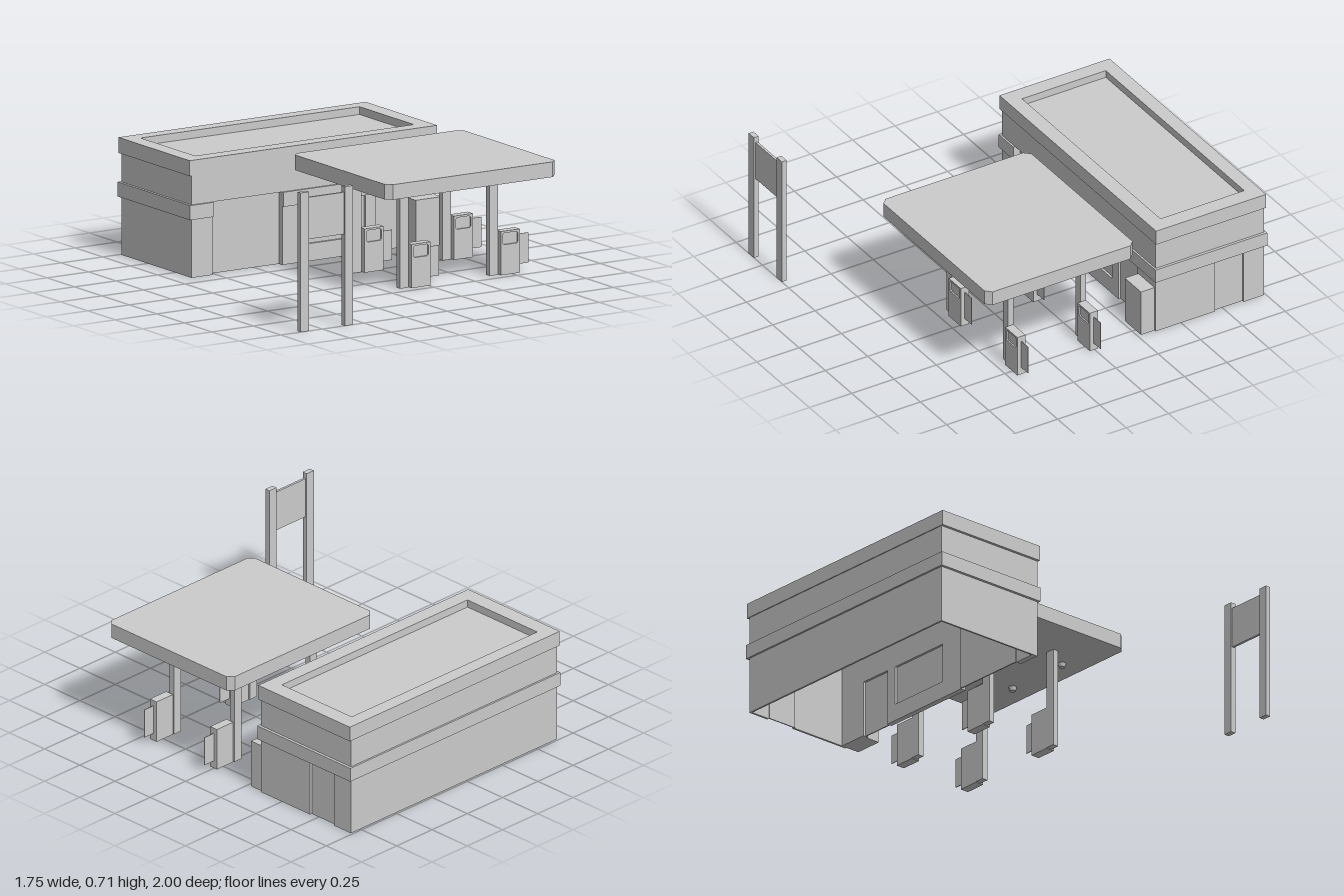
import * as THREE from 'three';

const material = new THREE.MeshStandardMaterial({ color: 0xcccccc, flatShading: true, side: THREE.DoubleSide });

function add(parent, name, geometry) {
  const mesh = new THREE.Mesh(geometry, material);
  mesh.name = name;
  parent.add(mesh);
  return mesh;
}

// Box given by its minimum and maximum on each axis
function box(parent, name, x0, x1, y0, y1, z0, z1) {
  const mesh = add(parent, name, new THREE.BoxGeometry(x1 - x0, y1 - y0, z1 - z0));
  mesh.position.set((x0 + x1) / 2, (y0 + y1) / 2, (z0 + z1) / 2);
  return mesh;
}

const polygon = (points) => new THREE.Shape(points.map(([x, y]) => new THREE.Vector2(x, y)));
const rect = (x0, x1, y0, y1) => polygon([[x0, y0], [x1, y0], [x1, y1], [x0, y1]]);
const extrude = (shape, depth) => new THREE.ExtrudeGeometry(shape, { depth, bevelEnabled: false });

// Plan shape of [x, z] points raised from y0 to y1
function slab(parent, name, points, y0, y1, hole) {
  const flip = (list) => list.map(([x, z]) => [x, -z]);
  const shape = polygon(flip(points));
  if (hole) shape.holes.push(polygon(flip(hole)));
  const mesh = add(parent, name, extrude(shape, y1 - y0));
  mesh.rotation.x = -Math.PI / 2;
  mesh.position.y = y0;
  return mesh;
}

const planRect = (x0, x1, z0, z1) => [[x0, z0], [x1, z0], [x1, z1], [x0, z1]];

// Wall with doorways [x0, x1, top] cut from the ground and optional windows
function wallGeometry(x0, x1, height, doorways, windows, depth) {
  const points = [[x0, 0]];
  for (const [a, b, top] of doorways) points.push([a, 0], [a, top], [b, top], [b, 0]);
  points.push([x1, 0], [x1, height], [x0, height]);
  const shape = polygon(points);
  for (const w of windows) shape.holes.push(rect(...w));
  return extrude(shape, depth);
}

function createShop() {
  const shop = new THREE.Group();
  shop.name = 'shop';
  const L = -0.645, R = 0.815, F = -0.35, B = -0.99, H = 0.53;

  // Walls, open underneath
  const front = add(shop, 'frontWall',
    wallGeometry(L, R, H, [[-0.52, -0.1, 0.375], [0.46, 0.64, 0.297]], [[0.04, 0.4, 0.09, 0.297]], 0.03));
  front.position.z = F - 0.03;
  const right = add(shop, 'rightWall', wallGeometry(-F, -B, H, [[0.7, 0.87, 0.297]], [], 0.012));
  right.rotation.y = Math.PI / 2;
  right.position.x = R - 0.012;
  box(shop, 'backWall', L, R, 0, H, B, B + 0.01);
  box(shop, 'leftWall', L, L + 0.01, 0, H, B, F);

  // Inset doors and window
  box(shop, 'entrance', -0.52, -0.1, 0, 0.375, F - 0.036, F - 0.03);
  box(shop, 'frontDoor', 0.46, 0.64, 0, 0.297, F - 0.018, F - 0.012);
  box(shop, 'windowPane', 0.04, 0.4, 0.09, 0.297, F - 0.018, F - 0.012);
  box(shop, 'sideDoor', R - 0.018, R - 0.012, 0, 0.297, -0.87, -0.7);

  // Band around the walls, interrupted at the entrance
  const l = -0.66, r = 0.83, f = -0.34, b = -1;
  slab(shop, 'wallBand', [
    [-0.52, f], [l, f], [l, b], [r, b], [r, f], [-0.1, f],
    [-0.1, F], [R, F], [R, B], [L, B], [L, F], [-0.52, F],
  ], 0.3, 0.375);

  // Parapet with sunken roof
  slab(shop, 'parapet', planRect(-0.66, 0.828, -0.995, -0.345), 0.525, 0.605,
    planRect(-0.575, 0.74, -0.92, -0.425));
  box(shop, 'roof', -0.6, 0.76, 0.53, 0.565, -0.94, -0.4);

  // Storage box beside the wall
  box(shop, 'iceBox', 0.65, 0.805, 0, 0.255, F, -0.27);
  return shop;
}

function createPump(x, z) {
  const pump = new THREE.Group();
  pump.name = 'pump';
  pump.position.set(x, 0, z);
  box(pump, 'pumpBody', 0, 0.115, 0, 0.225, -0.024, 0.016);
  // Front cover with a recessed display
  const cover = rect(0, 0.115, 0, 0.225);
  cover.holes.push(polygon([
    [0.02, 0.155], [0.095, 0.155], [0.102, 0.162], [0.102, 0.208],
    [0.095, 0.215], [0.02, 0.215], [0.013, 0.208], [0.013, 0.162],
  ]));
  add(pump, 'pumpCover', extrude(cover, 0.008)).position.z = 0.016;
  // Thin plate at the side
  box(pump, 'hosePlate', 0.115, 0.18, 0.04, 0.195, -0.002, 0.002);
  return pump;
}

function createForecourt() {
  const forecourt = new THREE.Group();
  forecourt.name = 'forecourt';

  // Canopy with clipped corners
  const x0 = -0.145, x1 = 0.875, z0 = -0.195, z1 = 0.68, c = 0.03;
  slab(forecourt, 'canopy', [
    [x0 + c, z0], [x1 - c, z0], [x1, z0 + c], [x1, z1 - c],
    [x1 - c, z1], [x0 + c, z1], [x0, z1 - c], [x0, z0 + c],
  ], 0.527, 0.605);

  // Columns with a pump beside each
  for (const x of [0.09, 0.627]) {
    for (const z of [-0.008, 0.42]) {
      box(forecourt, 'column', x, x + 0.05, 0, 0.53, z - 0.016, z + 0.016);
      forecourt.add(createPump(x + 0.055, z + 0.012));
    }
  }

  // Lamps under the canopy
  for (const x of [0.19, 0.565]) {
    for (const z of [-0.06, 0.25, 0.55]) {
      add(forecourt, 'lamp', new THREE.CylinderGeometry(0.021, 0.016, 0.022, 12)).position.set(x, 0.517, z);
    }
  }
  return forecourt;
}

function createSign() {
  const sign = new THREE.Group();
  sign.name = 'roadSign';
  for (const x of [-0.88, -0.615]) box(sign, 'signPost', x, x + 0.05, 0, 0.715, 0.972, 1);
  box(sign, 'signPanel', -0.83, -0.615, 0.47, 0.685, 0.979, 0.992);
  return sign;
}

export function createModel() {
  const model = new THREE.Group();
  model.name = 'fuelStation';
  model.add(createShop(), createForecourt(), createSign());
  return model;
}
